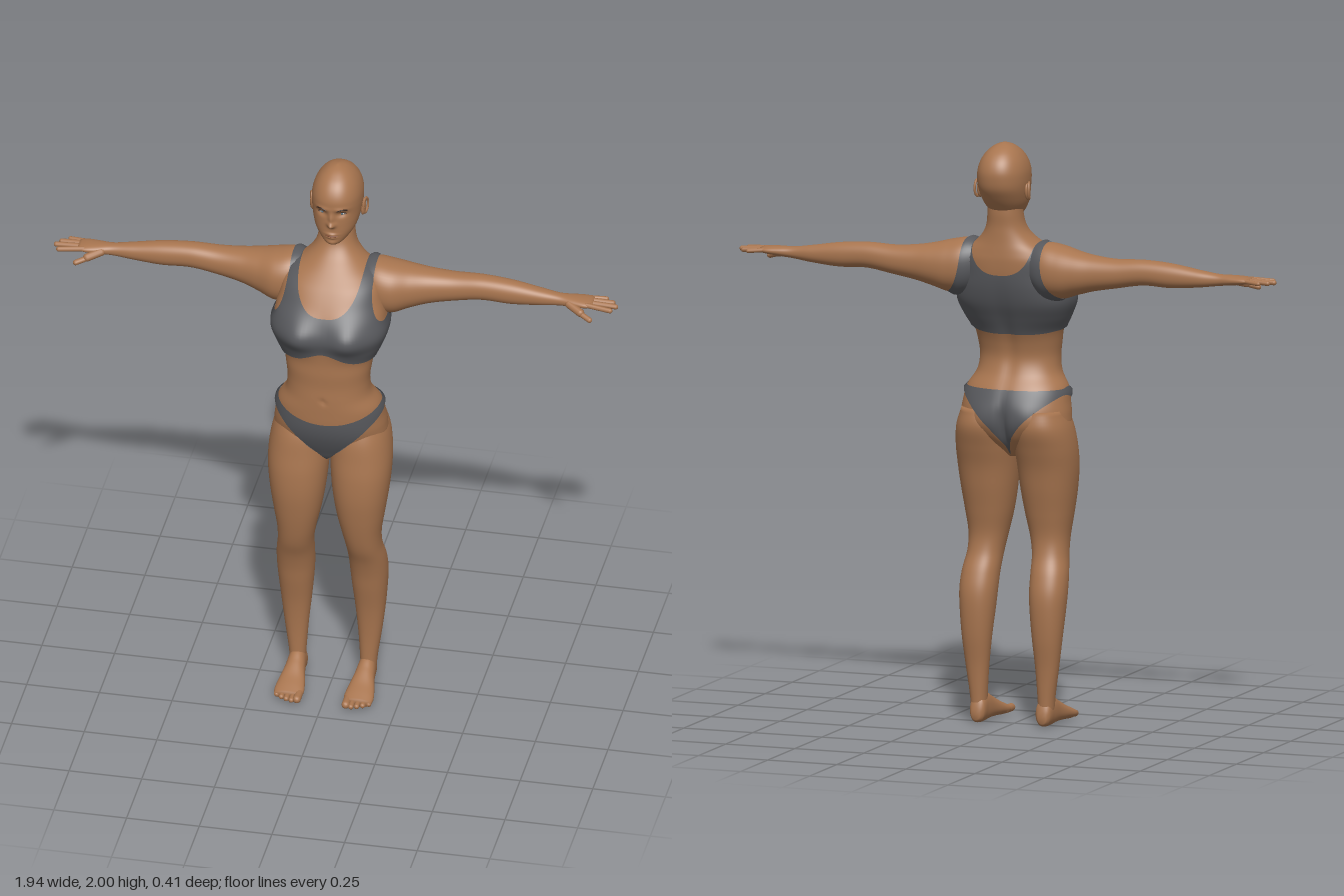
import * as THREE from 'three';

const material = (name, color) => Object.assign(new THREE.MeshStandardMaterial({ color }), { name });
const gauss = (dx, dy, sx, sy) => Math.exp(-((dx / sx) ** 2) - (dy / sy) ** 2);
const step = THREE.MathUtils.smoothstep;

// Smooth interpolation of cross-section rows [t, a0, a1, b0, b1, squareness]
function sample(rows, t) {
  let i = 0;
  while (i < rows.length - 2 && t > rows[i + 1][0]) i++;
  const slope = (k, c) => {
    const p = rows[Math.max(k - 1, 0)], q = rows[Math.min(k + 1, rows.length - 1)];
    return (q[c] - p[c]) / (q[0] - p[0]);
  };
  const h = rows[i + 1][0] - rows[i][0], u = (t - rows[i][0]) / h;
  return [1, 2, 3, 4, 5].map((c) => {
    const p = rows[i][c], q = rows[i + 1][c];
    return (2 * u ** 3 - 3 * u * u + 1) * p + (3 * u * u - 2 * u ** 3) * q
      + (u ** 3 - 2 * u * u + u) * h * slope(i, c) + (u ** 3 - u * u) * h * slope(i + 1, c);
  });
}

// Closed loft along an axis: y uses (x, z) sections, x uses (z, y), z uses (y, x)
function loft(axis, sections, { side = 1, steps = 60, around = 48, deform } = {}) {
  const rows = sections.map((r) => [...r.slice(0, 5), r[5] ?? 2.2]);
  const t0 = rows[0][0], t1 = rows[rows.length - 1][0];
  const pos = [], index = [], v = new THREE.Vector3();
  for (let j = -1; j <= steps + 1; j++) {
    const t = t0 + (t1 - t0) * Math.min(Math.max(j / steps, 0), 1);
    const [a0, a1, b0, b1, n] = sample(rows, t);
    const k = j < 0 || j > steps ? 0 : 0.5;
    for (let i = 0; i < around; i++) {
      const w = (i / around) * Math.PI * 2, c = Math.cos(w), s = Math.sin(w);
      const a = (a0 + a1) / 2 + k * (a1 - a0) * Math.sign(c) * Math.abs(c) ** (2 / n);
      const b = (b0 + b1) / 2 + k * (b1 - b0) * Math.sign(s) * Math.abs(s) ** (2 / n);
      if (axis === 'y') v.set(a, t, b);
      else if (axis === 'x') v.set(t, b, a);
      else v.set(b, a, t);
      if (deform) deform(v);
      pos.push(v.x * side, v.y, v.z);
      if (j > steps) continue;
      const A = (j + 1) * around + i, B = (j + 1) * around + (i + 1) % around;
      const C = B + around, D = A + around;
      if (side > 0) index.push(A, C, B, A, D, C);
      else index.push(A, B, C, A, C, D);
    }
  }
  const g = new THREE.BufferGeometry();
  g.setAttribute('position', new THREE.Float32BufferAttribute(pos, 3));
  g.setIndex(index);
  g.computeVertexNormals();
  return g;
}

// Cloth layer: the part of a surface where rule > 0, cut cleanly and lifted off the body
function dress(geo, rule) {
  const P = geo.attributes.position, N = geo.attributes.normal, ix = geo.index.array;
  const verts = [], pos = [], nor = [];
  for (let i = 0; i < P.count; i++) {
    const p = [P.getX(i), P.getY(i), P.getZ(i)];
    verts.push([...p, N.getX(i), N.getY(i), N.getZ(i), rule(...p)]);
  }
  const push = (q) => {
    const lift = 0.001 + Math.min(0.007, Math.max(q[6], 0) * 0.8);
    pos.push(q[0] + q[3] * lift, q[1] + q[4] * lift, q[2] + q[5] * lift);
    nor.push(q[3], q[4], q[5]);
  };
  for (let i = 0; i < ix.length; i += 3) {
    const poly = [];
    for (let k = 0; k < 3; k++) {
      const p = verts[ix[i + k]], q = verts[ix[i + (k + 1) % 3]];
      if (p[6] > 0) poly.push(p);
      if (p[6] > 0 !== q[6] > 0) poly.push(p.map((x, c) => x + (q[c] - x) * p[6] / (p[6] - q[6])));
    }
    for (let k = 2; k < poly.length; k++) [poly[0], poly[k - 1], poly[k]].forEach(push);
  }
  const g = new THREE.BufferGeometry();
  g.setAttribute('position', new THREE.Float32BufferAttribute(pos, 3));
  g.setAttribute('normal', new THREE.Float32BufferAttribute(nor, 3));
  return g;
}

// Scoop-necked top: hem, neck opening and arm openings
function topRule(x, y, z) {
  const ax = Math.abs(x), front = step(z, -0.06, 0.02);
  const hem = 1.337 + front * (0.01 + 0.045 * gauss(x, 0, 0.075, 1));
  const hole = (dx, dy) => (Math.max(dx, 0) ** 2.5 + Math.max(dy, 0) ** 2.5) ** 0.4 - 1;
  const neck = hole(ax / 0.112, (1.69 - y) / (0.14 + 0.025 * front));
  const arm = hole((0.25 - ax) / 0.105, (1.64 - y) / 0.17);
  return Math.min(y - hem, neck * 0.11, arm * 0.11, 0.205 - ax);
}

// Brief: waistline and leg openings
function briefRule(x, y, z) {
  const ax = Math.abs(x), front = step(z, -0.01, 0.06);
  const waist = THREE.MathUtils.lerp(1.15, 1.108 + 0.05 * (ax / 0.18) ** 2, front);
  const leg = THREE.MathUtils.lerp(0.925 + 0.2 * (ax / 0.17) ** 0.6, 0.925 + 0.19 * (ax / 0.175) ** 0.9, front);
  return Math.min(waist - y, (y - leg) * 0.7);
}

const even = ([y, w, back, front, n]) => [y, -w, w, back, front, n];

const TORSO = [
  [0.915, 0.02, -0.02, 0.05], [0.94, 0.06, -0.05, 0.09], [0.98, 0.15, -0.088, 0.115], [1.02, 0.19, -0.106, 0.135],
  [1.06, 0.192, -0.11, 0.15], [1.1, 0.186, -0.106, 0.158], [1.15, 0.176, -0.086, 0.16], [1.2, 0.147, -0.055, 0.16],
  [1.25, 0.14, -0.04, 0.158], [1.3, 0.145, -0.047, 0.16], [1.35, 0.155, -0.066, 0.16], [1.4, 0.177, -0.09, 0.165, 2.5],
  [1.45, 0.193, -0.115, 0.174, 2.7], [1.5, 0.188, -0.132, 0.16, 2.6], [1.55, 0.178, -0.142, 0.133, 2.4],
  [1.6, 0.168, -0.145, 0.098, 2.4], [1.63, 0.15, -0.143, 0.07], [1.66, 0.108, -0.14, 0.04], [1.69, 0.08, -0.138, 0.01],
  [1.72, 0.066, -0.137, -0.01], [1.76, 0.06, -0.14, -0.022], [1.8, 0.058, -0.14, -0.03]].map(even);
const HEAD = [
  [1.732, 0.018, -0.05, 0], [1.745, 0.036, -0.09, 0.013], [1.765, 0.055, -0.13, 0.017], [1.79, 0.07, -0.155, 0.018],
  [1.82, 0.079, -0.178, 0.018], [1.85, 0.084, -0.196, 0.018], [1.88, 0.086, -0.203, 0.021], [1.91, 0.084, -0.203, 0.02],
  [1.94, 0.075, -0.192, 0.008], [1.965, 0.06, -0.172, -0.012], [1.983, 0.042, -0.147, -0.037],
  [1.994, 0.024, -0.122, -0.06], [2, 0.004, -0.1, -0.084]].map(even);
const LEG = [
  [0.05, 0.095, 0.148, -0.045, 0.02], [0.1, 0.093, 0.152, -0.048, 0.018], [0.2, 0.086, 0.166, -0.056, 0.02],
  [0.3, 0.076, 0.178, -0.07, 0.03], [0.4, 0.066, 0.187, -0.076, 0.05], [0.46, 0.062, 0.19, -0.072, 0.062],
  [0.52, 0.06, 0.187, -0.055, 0.08], [0.58, 0.056, 0.178, -0.03, 0.105], [0.64, 0.045, 0.178, -0.022, 0.122],
  [0.72, 0.027, 0.19, -0.035, 0.138], [0.8, 0.014, 0.202, -0.052, 0.148], [0.88, 0.006, 0.21, -0.068, 0.148],
  [0.95, 0.003, 0.21, -0.09, 0.14], [1.02, 0.008, 0.2, -0.11, 0.13], [1.08, 0.03, 0.18, -0.1, 0.11]];
const ARM = [
  [0.08, -0.11, -0.01, 1.53, 1.645], [0.14, -0.14, 0.03, 1.48, 1.66], [0.2, -0.145, 0.035, 1.472, 1.652],
  [0.26, -0.14, 0.01, 1.49, 1.638], [0.32, -0.132, -0.012, 1.507, 1.628], [0.4, -0.125, -0.028, 1.522, 1.622],
  [0.5, -0.117, -0.034, 1.538, 1.625], [0.6, -0.112, -0.036, 1.535, 1.618], [0.7, -0.102, -0.042, 1.543, 1.602],
  [0.77, -0.093, -0.045, 1.552, 1.592], [0.82, -0.099, -0.034, 1.557, 1.591], [0.86, -0.103, -0.029, 1.562, 1.589],
  [0.885, -0.099, -0.034, 1.567, 1.585]];
const FOOT = [
  [-0.052, 0.012, 0.05, 0.105, 0.135], [-0.04, 0.002, 0.085, 0.093, 0.145], [0, 0, 0.105, 0.09, 0.15],
  [0.05, 0.004, 0.085, 0.084, 0.155], [0.1, 0.004, 0.06, 0.074, 0.165], [0.14, 0.002, 0.045, 0.069, 0.17],
  [0.168, 0.006, 0.034, 0.074, 0.167]];

// Bust, seat and spine
function shapeTorso(v) {
  const ax = Math.abs(v.x);
  if (v.z > 0.05) v.z += 0.027 * gauss(ax - 0.085, v.y - 1.46, 0.055, 0.055) - 0.006 * gauss(v.x, v.y - 1.2, 0.008, 0.01);
  else if (v.z < 0) v.z += 0.02 * gauss(v.x, v.y - 1.02, 0.016, 0.07) + 0.008 * gauss(v.x, v.y - 1.32, 0.025, 0.16)
    - 0.012 * gauss(ax - 0.085, v.y - 1.05, 0.055, 0.05);
}

// Nose, eye sockets, brows, lips and chin
function shapeFace(v) {
  if (v.z < -0.05) return;
  const ax = Math.abs(v.x), { x, y } = v;
  v.z += 0.019 * gauss(x, y - 1.822, 0.012, 0.01) + 0.012 * gauss(x, y - 1.845, 0.009, 0.022)
    - 0.01 * gauss(ax - 0.034, y - 1.862, 0.017, 0.011) + 0.004 * gauss(ax - 0.03, y - 1.882, 0.025, 0.008)
    + 0.006 * gauss(x, y - 1.783, 0.019, 0.005) + 0.006 * gauss(x, y - 1.771, 0.016, 0.005)
    + 0.005 * gauss(x, y - 1.748, 0.018, 0.01);
}

export function createModel() {
  const skin = material('skin', 0xa8754f), cloth = material('grey cloth', 0x58595d);
  const dark = material('brow brown', 0x3d2a20), lip = material('lip', 0x845038);
  const white = material('eye white', 0xb5b2ae), blue = material('iris blue', 0x4c6a80);
  const model = new THREE.Group();
  const add = (name, geo, mat) => {
    const m = new THREE.Mesh(geo, mat);
    m.name = name;
    model.add(m);
    return m;
  };
  const tube = (name, pts, r, mat) => add(name, new THREE.TubeGeometry(
    new THREE.CatmullRomCurve3(pts.map((p) => new THREE.Vector3(...p))), 12, r, 8), mat);
  const ball = (name, p, scale, mat) => {
    const m = add(name, new THREE.SphereGeometry(1, 20, 14), mat);
    m.position.set(...p);
    m.scale.set(...scale);
    return m;
  };
  // Rounded digit between two points
  const digit = (name, a, b, r) => {
    const p = new THREE.Vector3(...a), q = new THREE.Vector3(...b), d = q.clone().sub(p);
    const m = add(name, new THREE.CapsuleGeometry(r, d.length() - r, 6, 12), skin);
    m.position.copy(p).lerp(q, 0.5).addScaledVector(d.clone().normalize(), -r / 2);
    m.quaternion.setFromUnitVectors(new THREE.Vector3(0, 1, 0), d.normalize());
  };

  const torso = loft('y', TORSO, { steps: 110, around: 96, deform: shapeTorso });
  add('torso', torso, skin);
  add('top', dress(torso, topRule), cloth);
  add('brief', dress(torso, briefRule), cloth);
  add('head', loft('y', HEAD, { steps: 90, around: 112, deform: shapeFace }), skin);
  tube('mouth', [[-0.02, 1.777, 0.016], [0, 1.778, 0.024], [0.02, 1.777, 0.016]], 0.0022, lip);

  for (const s of [1, -1]) {
    const label = s > 0 ? 'left' : 'right';

    // Face details and ears
    ball(label + 'Eye', [s * 0.034, 1.862, -0.006], [0.014, 0.0065, 0.011], white);
    ball(label + 'Iris', [s * 0.033, 1.862, 0.002], [0.005, 0.0052, 0.004], blue);
    tube(label + 'Lash', [[s * 0.02, 1.863, 0.006], [s * 0.034, 1.869, 0.006], [s * 0.048, 1.863, 0]], 0.0018, dark);
    tube(label + 'Brow', [[s * 0.018, 1.878, 0.021], [s * 0.035, 1.884, 0.018], [s * 0.052, 1.88, 0.006]], 0.0022, dark);
    ball(label + 'Ear', [s * 0.086, 1.836, -0.097], [0.009, 0.03, 0.017], skin).rotation.x = -0.2;
    const rim = add(label + 'EarRim', new THREE.TorusGeometry(0.017, 0.004, 8, 24), skin);
    rim.position.set(s * 0.093, 1.84, -0.1);
    rim.rotation.set(0, Math.PI / 2 - s * 0.3, 0);
    rim.scale.y = 1.6;

    // Arm and hand
    const arm = loft('x', ARM, { side: s, steps: 90 });
    add(label + 'Arm', arm, skin);
    add(label + 'Strap', dress(arm, topRule), cloth);
    [[-0.04, 0.957, -0.028], [-0.058, 0.971, -0.058], [-0.076, 0.957, -0.081], [-0.092, 0.93, -0.104]].forEach(([z, x, tip], i) =>
      digit(label + 'Finger' + (i + 1), [s * 0.865, 1.577, z], [s * x, 1.572, tip], i === 3 ? 0.0075 : 0.0088));
    digit(label + 'ThumbBase', [s * 0.805, 1.57, -0.045], [s * 0.86, 1.555, -0.012], 0.014);
    digit(label + 'Thumb', [s * 0.84, 1.558, -0.022], [s * 0.892, 1.542, 0.003], 0.0095);

    // Leg and foot
    const leg = loft('y', LEG, { side: s, steps: 80, around: 64 });
    add(label + 'Leg', leg, skin);
    add(label + 'BriefSide', dress(leg, briefRule), cloth);
    add(label + 'Foot', loft('z', FOOT, { side: s, steps: 40 }), skin);
    for (let i = 0; i < 5; i++) {
      const x = 0.084 + i * 0.0185, r = i ? 0.0095 : 0.014;
      digit(label + 'Toe' + (i + 1), [s * x, 0.022, 0.13], [s * x, r + 0.006, 0.2 - i * i * 0.0018], r);
    }
  }
  return model;
}
